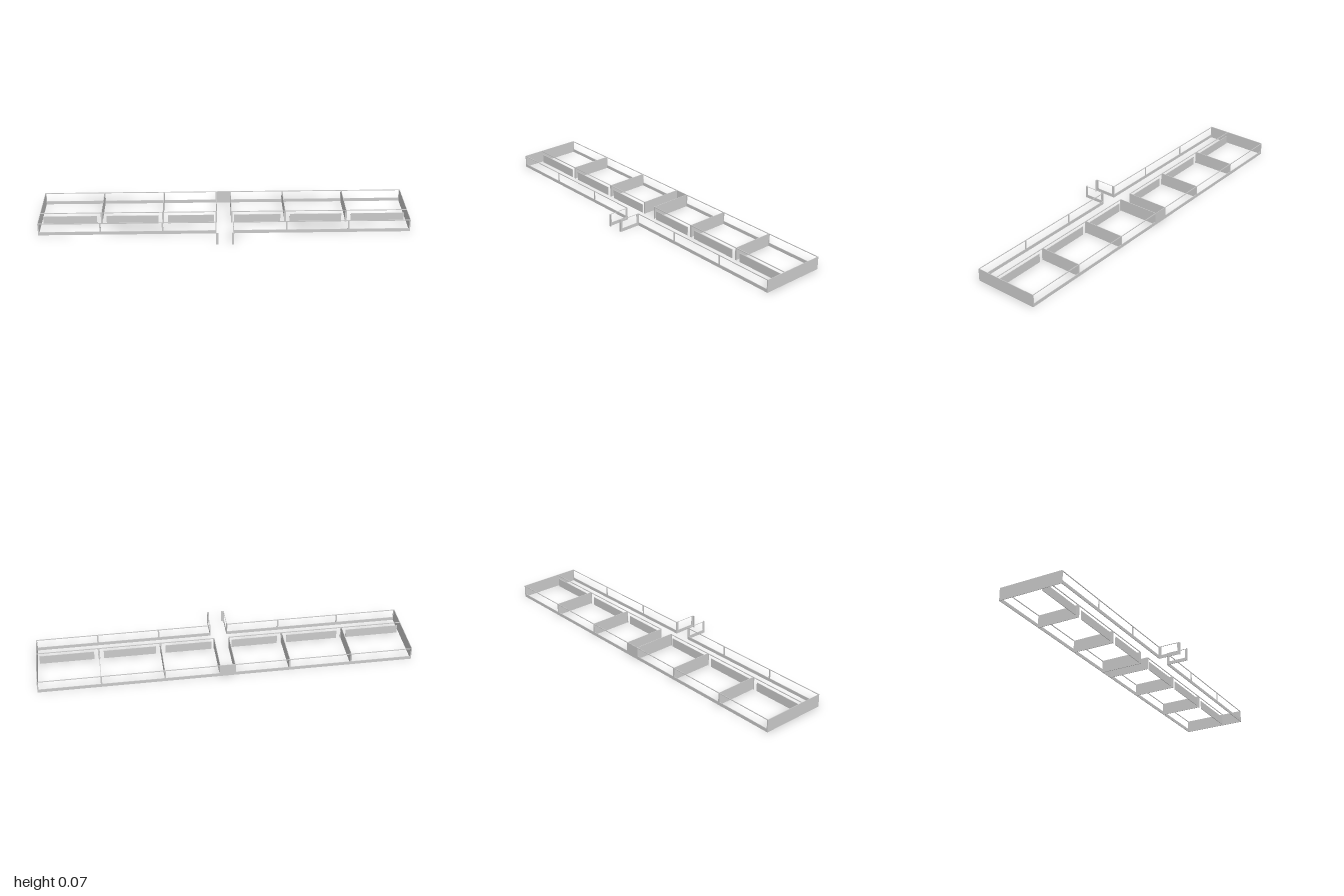
import * as THREE from 'three';

const H = 0.07, T = 0.003;              // wall height and thickness
const SILL = 0.018, HEAD = 0.066;       // window opening limits
const AXES = [0.333, 0.667];            // partition positions on each wing

const material = new THREE.MeshStandardMaterial({ color: 0xcccccc, side: THREE.DoubleSide });

function rect(Kind, a, b, y0, y1) {
  const p = new Kind();
  p.moveTo(a, y0);
  p.lineTo(b, y0);
  p.lineTo(b, y1);
  p.lineTo(a, y1);
  p.closePath();
  return p;
}

// Upright wall sheet spanning a..b, centred on its plane, with rectangular openings [a, b, y0, y1]
function wall(name, a, b, openings = []) {
  const shape = rect(THREE.Shape, a, b, 0, H);
  for (const o of openings) shape.holes.push(rect(THREE.Path, ...o));
  const geometry = new THREE.ExtrudeGeometry(shape, { depth: T, bevelEnabled: false });
  geometry.translate(0, 0, -T / 2);
  const mesh = new THREE.Mesh(geometry, material);
  mesh.name = name;
  return mesh;
}

// Wall running along z at a given x
function crossWall(name, x, z0, z1, openings) {
  const mesh = wall(name, -z1, -z0, openings);
  mesh.rotation.y = Math.PI / 2;
  mesh.position.x = x;
  return mesh;
}

function box(name, x0, x1, y0, y1, z) {
  const mesh = new THREE.Mesh(new THREE.BoxGeometry(x1 - x0, y1 - y0, T), material);
  mesh.position.set((x0 + x1) / 2, (y0 + y1) / 2, z);
  mesh.name = name;
  return mesh;
}

// Window openings between successive edges, leaving narrow mullions
function windows(edges, gap) {
  return edges.slice(1).map((e, i) => [edges[i] + gap, e - gap, SILL, HEAD]);
}

function createModel() {
  const model = new THREE.Group();
  model.name = 'floorWalls';

  // Back wall with a solid centre panel
  const bays = [0.04, ...AXES, 0.998];
  const right = windows(bays, 0.004);
  const left = right.map(([a, b, y0, y1]) => [-b, -a, y0, y1]);
  const back = wall('backWall', -1, 1, [...left, ...right]);
  back.position.z = -0.24 + T / 2;
  model.add(back);

  for (const s of [-1, 1]) {
    const wing = new THREE.Group();
    wing.name = s > 0 ? 'leftWing' : 'rightWing';
    const span = (a, b) => (s > 0 ? [a, b] : [-b, -a]);

    // Solid end wall and room partitions
    wing.add(crossWall('endWall', s * (1 - T / 2), -0.24, 0.12));
    for (const x of [0.04, ...AXES]) wing.add(crossWall('partition', s * x, -0.24, 0));

    // Front wall with long windows
    const frontOpenings = windows([0.045, ...AXES, 0.998], 0.004)
      .map(([a, b, y0, y1]) => [...span(a, b), y0, y1]);
    const front = wall('frontWall', ...span(0.045, 1), frontOpenings);
    front.position.z = 0.12 - T / 2;
    wing.add(front);

    // Corridor wall: low panels, door gaps beside the partitions, head rail and posts
    const edges = [0.04, ...AXES, 1];
    for (let i = 0; i < 3; i++) {
      const a = edges[i] + (i === 0 ? 0.015 : 0.026);
      const b = edges[i + 1] - (i === 2 ? 0.015 : 0.026);
      wing.add(box('corridorPanel', ...span(a, b), 0, 0.049, 0));
    }
    wing.add(box('corridorHeadRail', ...span(0.04, 1), HEAD, H, 0));
    for (const x of AXES) wing.add(box('doorPost', ...span(x - 0.005, x + 0.005), 0, H, 0));
    wing.add(box('doorPost', ...span(0.04, 0.046), 0, H, 0));

    // Entrance side wall with a large opening and a short return
    wing.add(crossWall('entranceWall', s * 0.046, 0.12, 0.242, [[-0.229, -0.132, SILL, 0.068]]));
    wing.add(box('entranceReturn', ...span(0.036, 0.046), 0, H, 0.242 - T / 2));
    model.add(wing);
  }
  return model;
}

export { createModel };
